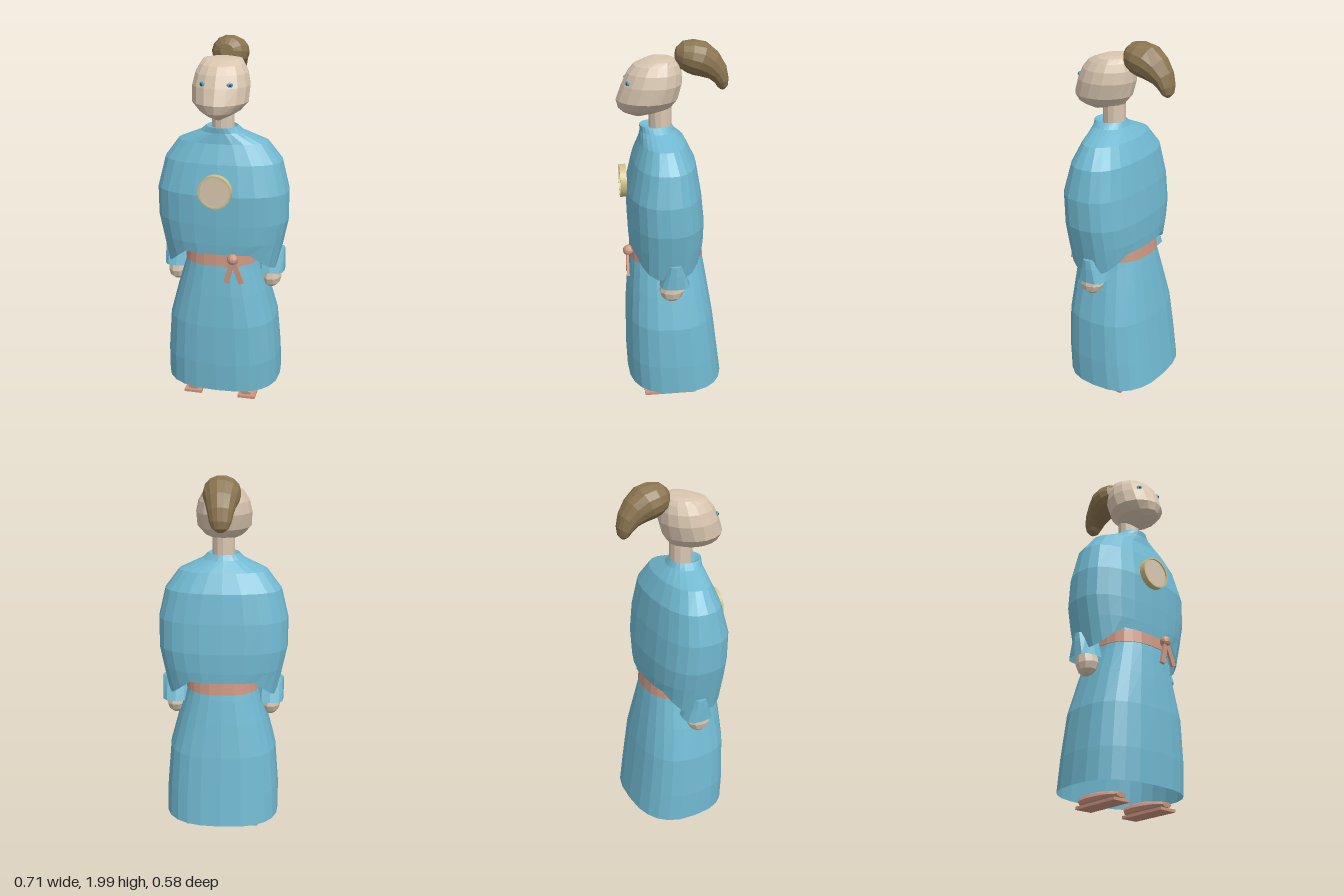
import * as THREE from 'three';

const mat = (name, color, extra = {}) => {
  const m = new THREE.MeshStandardMaterial({ color, flatShading: true, ...extra });
  m.name = name;
  return m;
};

// Skin a list of equal-length point rings; outward when rings run upwards
function skin(rings, capStart, capEnd) {
  const pos = [], idx = [], n = rings[0].length;
  rings.forEach(r => r.forEach(p => pos.push(p.x, p.y, p.z)));
  for (let i = 0; i < rings.length - 1; i++) {
    for (let j = 0; j < n; j++) {
      const a = i * n + j, b = i * n + (j + 1) % n;
      idx.push(a, a + n, b, b, a + n, b + n);
    }
  }
  const cap = (r, flip) => {
    const c = new THREE.Vector3();
    rings[r].forEach(p => c.addScaledVector(p, 1 / n));
    const k = pos.length / 3;
    pos.push(c.x, c.y, c.z);
    for (let j = 0; j < n; j++) {
      const a = r * n + j, b = r * n + (j + 1) % n;
      flip ? idx.push(k, a, b) : idx.push(k, b, a);
    }
  };
  if (capStart) cap(0, true);
  if (capEnd) cap(rings.length - 1, false);
  const g = new THREE.BufferGeometry();
  g.setAttribute('position', new THREE.Float32BufferAttribute(pos, 3));
  g.setIndex(idx);
  g.computeVertexNormals();
  return g;
}

// Horizontal superellipse ring from [y, half width, front z, back z, exponent]
function ring([y, rx, zf, zb, e = 2], n) {
  const pts = [], bend = v => Math.sign(v) * Math.abs(v) ** (2 / e);
  for (let j = 0; j < n; j++) {
    const a = (j / n) * Math.PI * 2;
    pts.push(new THREE.Vector3(rx * bend(Math.cos(a)), y,
      (zf + zb) / 2 + ((zf - zb) / 2) * bend(Math.sin(a))));
  }
  return pts;
}
const loft = (rows, n, a, b) => skin(rows.map(r => ring(r, n)), a, b);

// Sweep ellipses along a path in the side plane, from [z, y, half width, half height]
function sweep(rows, n) {
  return skin(rows.map(([z, y, rx, r], i) => {
    const p = rows[Math.max(i - 1, 0)], q = rows[Math.min(i + 1, rows.length - 1)];
    const l = Math.hypot(q[0] - p[0], q[1] - p[1]);
    const dz = (q[0] - p[0]) / l, dy = (q[1] - p[1]) / l;
    return Array.from({ length: n }, (_, j) => {
      const a = (j / n) * Math.PI * 2, s = r * Math.sin(a);
      return new THREE.Vector3(rx * Math.cos(a), y - dz * s, z + dy * s);
    });
  }), true, true);
}

export function createModel() {
  const group = new THREE.Group();
  const cloth = mat('robe blue', 0x70b8d0, { side: THREE.DoubleSide });
  const skinMat = mat('skin', 0xd9c6b0);
  const hair = mat('hair brown', 0x8b7550);
  const pink = mat('belt and sandal pink', 0xcb9580);
  const gold = mat('medallion rim', 0xcdc08a);
  const eyeBlue = mat('eye blue', 0x55a9c8);
  const pupilMat = mat('pupil', 0x24505f);

  const add = (name, geo, m, x = 0, y = 0, z = 0) => {
    const mesh = new THREE.Mesh(geo, m);
    mesh.name = name;
    mesh.position.set(x, y, z);
    group.add(mesh);
    return mesh;
  };

  // Long skirt, open at the hem
  add('skirt', loft([
    [0.085, 0.32, 0.265, -0.272, 2.6], [0.25, 0.317, 0.272, -0.25, 2.6],
    [0.48, 0.298, 0.27, -0.22, 2.6], [0.66, 0.25, 0.258, -0.19, 2.5],
    [0.80, 0.207, 0.245, -0.165, 2.5], [0.87, 0.19, 0.236, -0.15, 2.5],
    [0.97, 0.18, 0.22, -0.135, 2.5]], 24, false, true), cloth);

  // Belt band, knot and hanging ends
  add('belt', loft([[0.83, 0.205, 0.245, -0.163, 2.5],
    [0.90, 0.197, 0.24, -0.154, 2.5]], 24, true, true), pink);
  add('beltKnot', new THREE.SphereGeometry(0.03, 10, 7), pink, 0.09, 0.88, 0.252);
  for (const [x, tilt] of [[0.073, -0.24], [0.117, 0.36]]) {
    add('beltEnd', new THREE.BoxGeometry(0.027, 0.13, 0.014), pink, x, 0.81, 0.258).rotation.z = tilt;
  }

  // Cape over the shoulders; its hem dips at both sides
  const capeRings = [
    [0.895, 0.30, 0.24, -0.157, 2.5], [0.95, 0.333, 0.245, -0.16, 2.5],
    [1.06, 0.355, 0.25, -0.16, 2.5], [1.22, 0.354, 0.252, -0.143, 2.5],
    [1.38, 0.315, 0.215, -0.115, 2.4], [1.48, 0.24, 0.178, -0.065, 2.2],
    [1.535, 0.115, 0.172, -0.01], [1.563, 0.083, 0.175, 0.005],
    [1.55, 0.066, 0.14, 0.01]].map(r => ring(r, 24));
  capeRings[0].forEach(p => {
    const t = THREE.MathUtils.clamp((Math.abs(p.x) / 0.3 - 0.6) / 0.37, 0, 1);
    p.y -= 0.105 * t;
  });
  add('cape', skin(capeRings, false, true), cloth);

  // Sleeve cuffs, hands and sandalled feet
  for (const s of [1, -1]) {
    add('sleeve', loft([[0.75, 0.075, 0.1, -0.062, 3], [0.83, 0.075, 0.072, -0.032, 3],
      [0.88, 0.073, 0.055, -0.015, 3]], 12, false, true), cloth, s * 0.263);
    add('hand', loft([[0.66, 0.024, 0.065, 0.005], [0.68, 0.046, 0.09, -0.018],
      [0.715, 0.056, 0.103, -0.035], [0.79, 0.05, 0.085, -0.02]], 10, true, true),
    skinMat, s * 0.265);
    add('foot', sweep([[-0.11, 0.045, 0.036, 0.028], [-0.04, 0.046, 0.046, 0.03],
      [0.03, 0.043, 0.05, 0.029], [0.12, 0.037, 0.048, 0.021],
      [0.175, 0.032, 0.03, 0.012]], 10), pink, s * 0.153);
    add('sandalSole', new THREE.BoxGeometry(0.1, 0.015, 0.29), pink, s * 0.155, 0.0075, 0.035);
  }

  // Round chest medallion with a raised rim and a recessed face
  const disc = new THREE.Shape().absarc(0, 0, 0.088, 0, Math.PI * 2);
  disc.holes.push(new THREE.Path().absarc(0, 0, 0.079, 0, Math.PI * 2, true));
  add('medallionRim', new THREE.ExtrudeGeometry(disc,
    { depth: 0.035, bevelEnabled: false, curveSegments: 24 }), gold, 0, 1.253, 0.25);
  add('medallionFace', new THREE.CylinderGeometry(0.08, 0.08, 0.026, 24),
    skinMat, 0, 1.253, 0.264).rotation.x = Math.PI / 2;

  // Neck and head with a pointed chin ridge
  add('neck', new THREE.CylinderGeometry(0.06, 0.06, 0.17, 12), skinMat, 0, 1.625, 0.065);
  add('head', loft([
    [1.608, 0.008, 0.19, 0.165], [1.632, 0.06, 0.255, 0.06, 1.8],
    [1.655, 0.105, 0.282, 0.005, 1.8], [1.70, 0.146, 0.294, -0.03, 1.85],
    [1.78, 0.15, 0.264, -0.05], [1.84, 0.137, 0.235, -0.047],
    [1.88, 0.115, 0.2, -0.034], [1.903, 0.1, 0.14, -0.012],
    [1.91, 0.06, 0.1, 0.02]], 16, true, true), skinMat);

  // Eyes, flat against the face
  for (const s of [1, -1]) {
    const eye = add('eye', new THREE.SphereGeometry(0.017, 10, 6), eyeBlue, s * 0.07, 1.798, 0.235);
    eye.scale.set(1, 0.8, 0.4);
    eye.rotation.y = s * 0.5;
    const pupil = add('pupil', new THREE.SphereGeometry(0.007, 8, 6), pupilMat, s * 0.073, 1.798, 0.241);
    pupil.scale.z = 0.5;
    pupil.rotation.y = s * 0.5;
  }

  // Bun of hair curving down behind the head
  add('hairBun', sweep([
    [-0.016, 1.925, 0.035, 0.035], [-0.045, 1.922, 0.075, 0.068],
    [-0.09, 1.914, 0.096, 0.085], [-0.14, 1.9, 0.097, 0.09],
    [-0.19, 1.87, 0.08, 0.077], [-0.232, 1.83, 0.066, 0.056],
    [-0.255, 1.785, 0.055, 0.038], [-0.26, 1.755, 0.04, 0.028],
    [-0.26, 1.738, 0.015, 0.012]], 14), hair);

  return group;
}
